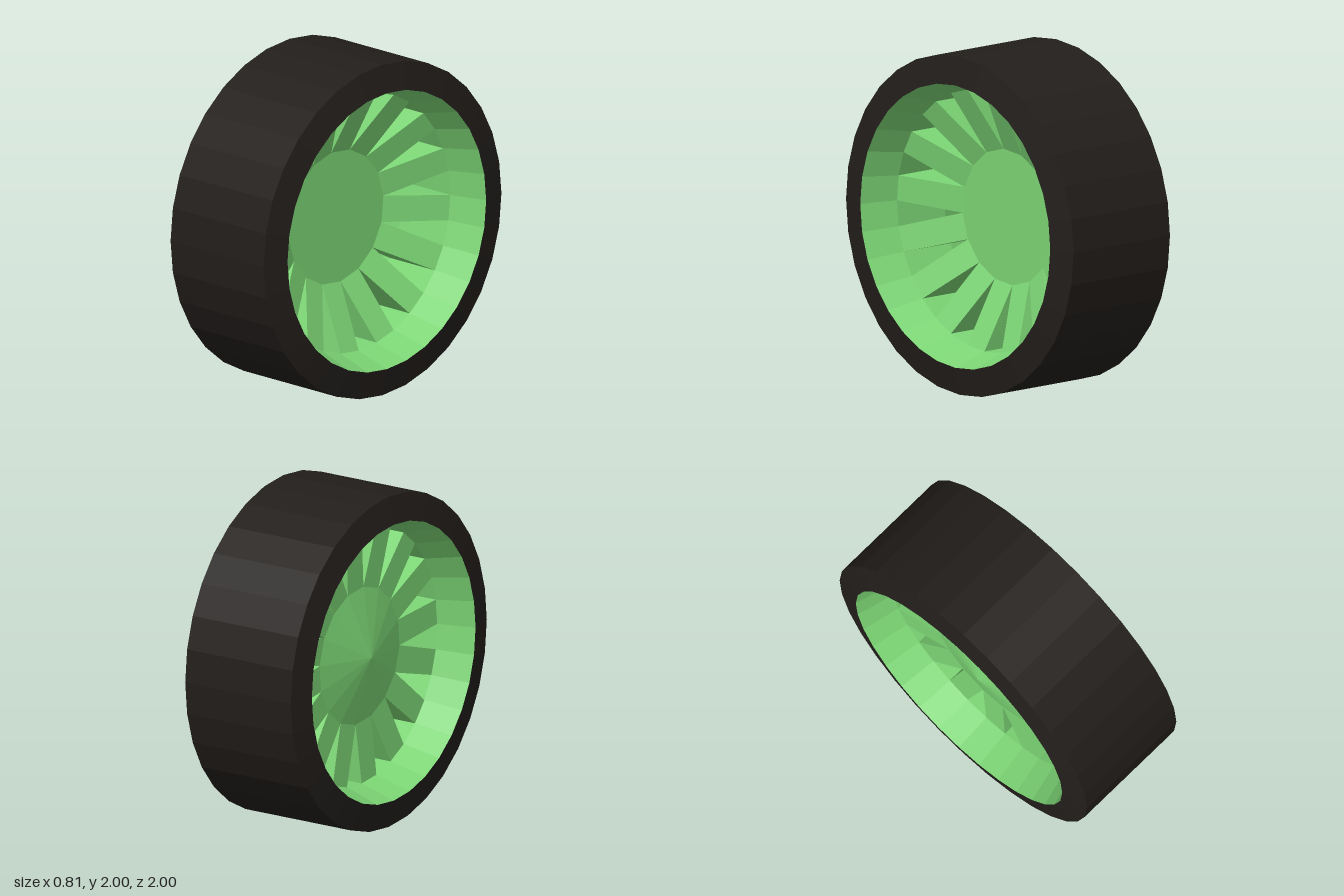
import * as THREE from 'three';

const SIDES = 32, SPOKES = 16;
const STEP = (Math.PI * 2) / SIDES;
const RIM_R = 0.77, RIM_X = 0.18;
const HUB_FRONT = { r: 0.4, x: 0 }, HUB_BACK = { r: 0.41, x: -0.165 };

const green = new THREE.MeshStandardMaterial({ color: 0x7bd474, flatShading: true });
const black = new THREE.MeshStandardMaterial({ color: 0x221e1b, flatShading: true });

// Turned part: profile of [radius, axle position], spun about the x axis
function turned(name, profile, sides, start, material) {
  const points = profile.map(([r, x]) => new THREE.Vector2(r, x));
  const geometry = new THREE.LatheGeometry(points, sides, start).rotateZ(-Math.PI / 2);
  const mesh = new THREE.Mesh(geometry, material);
  mesh.name = name;
  return mesh;
}

// Point on the wheel, with the angle measured from the top
const polar = (x, r, a) => [x, r * Math.cos(a), -r * Math.sin(a)];

// One spoke: from a hub facet to every second rim facet, dished at the front
function spokeGeometry() {
  const section = (hub, rimX) => [
    polar(hub.x, hub.r, -STEP / 2),
    polar(hub.x, hub.r, STEP * 1.5),
    polar(rimX, RIM_R, STEP),
    polar(rimX, RIM_R, 0),
  ];
  const corners = [...section(HUB_FRONT, RIM_X), ...section(HUB_BACK, -RIM_X)];
  const geometry = new THREE.BufferGeometry();
  geometry.setAttribute('position', new THREE.Float32BufferAttribute(corners.flat(), 3));
  geometry.setIndex([
    0, 1, 2, 0, 2, 3, // front
    5, 4, 7, 5, 7, 6, // back
    1, 5, 6, 1, 6, 2, // one side
    4, 0, 3, 4, 3, 7, // other side
  ]);
  geometry.computeVertexNormals();
  return geometry;
}

export function createModel() {
  const wheel = new THREE.Group();
  wheel.name = 'wheel';

  // Tyre with slightly bevelled sidewalls
  wheel.add(turned('tyre', [[0.835, -0.405], [1, -0.37], [1, 0.37], [0.835, 0.405]], SIDES, 0, black));

  // Inner face of the rim, narrowing to a flat band in the middle
  wheel.add(turned('rim', [[0.835, 0.405], [RIM_R, RIM_X], [RIM_R, -RIM_X], [0.835, -0.405]], SIDES, 0, green));

  // Hub: flat in front, shallow cone behind
  wheel.add(turned('hub', [
    [0, -0.25], [HUB_BACK.r, HUB_BACK.x], [HUB_FRONT.r, HUB_FRONT.x], [0, HUB_FRONT.x],
  ], SPOKES, -Math.PI / 2 + STEP / 2, green));

  // Spokes
  const spokes = new THREE.Group();
  spokes.name = 'spokes';
  const geometry = spokeGeometry();
  for (let i = 0; i < SPOKES; i++) {
    const spoke = new THREE.Mesh(geometry, green);
    spoke.name = 'spoke';
    spoke.rotation.x = (i * Math.PI * 2) / SPOKES;
    spokes.add(spoke);
  }
  wheel.add(spokes);

  wheel.position.y = 1;
  const model = new THREE.Group();
  model.add(wheel);
  return model;
}
